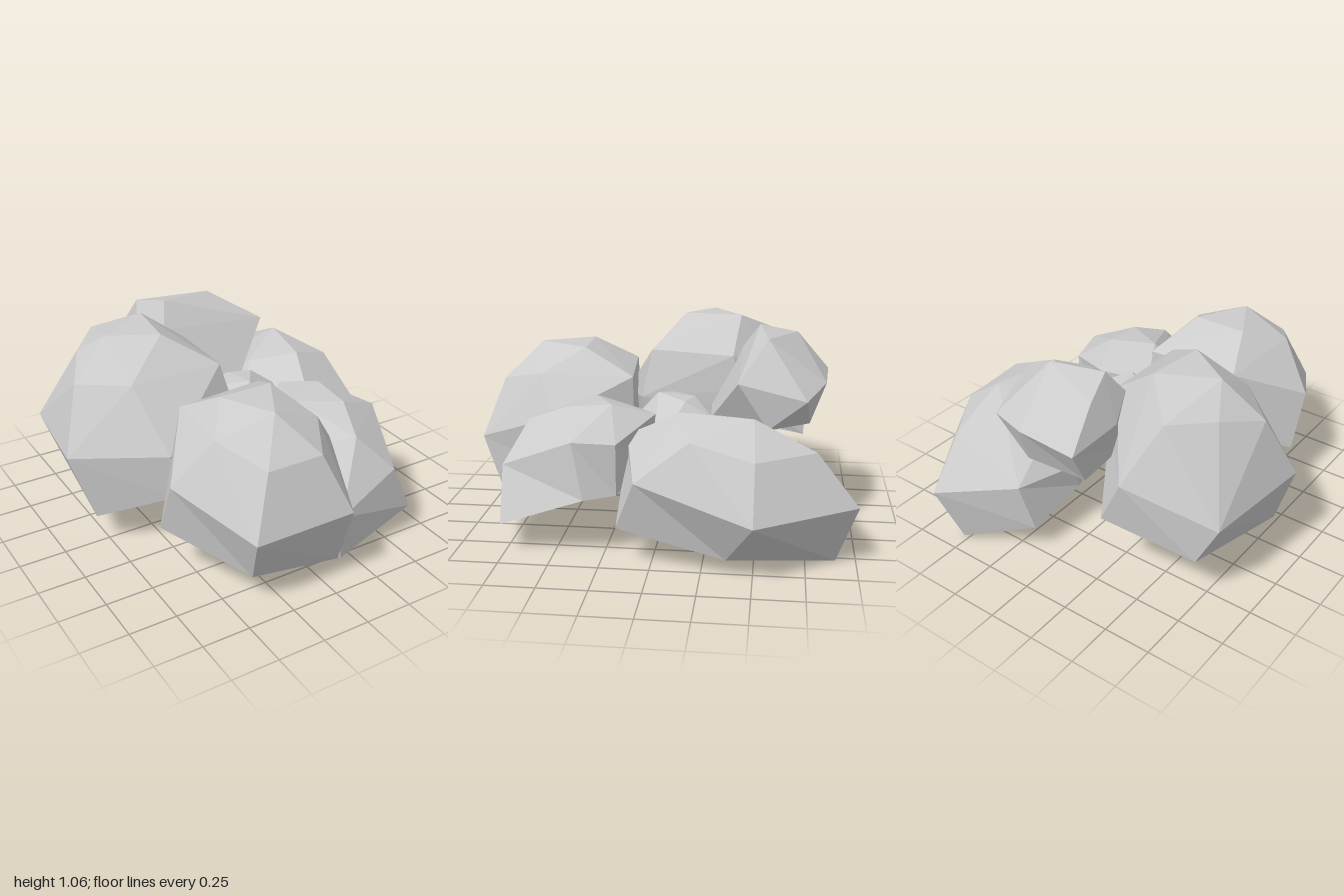
import * as THREE from 'three';
import { ConvexGeometry } from 'three/addons/geometries/ConvexGeometry.js';

const material = new THREE.MeshStandardMaterial({ color: 0xcccccc, flatShading: true, side: THREE.DoubleSide });

// Faceted dome over an equator ring, with a skirt down to a rim; the underside is open
function shell(name, crown, equator, rim) {
  const toPoints = (list) => list.map((p) => new THREE.Vector3(...p));
  const ring = toPoints(equator);
  const lower = toPoints(rim);
  const vertices = [];
  const addFace = (...corners) => corners.forEach((v) => vertices.push(v.x, v.y, v.z));

  // Dome: convex hull without the faces that close the ring
  const pos = new ConvexGeometry([...toPoints(crown), ...ring]).getAttribute('position');
  const onRing = (v) => ring.some((r) => r.distanceTo(v) < 1e-4);
  const tri = new THREE.Triangle();
  const normal = new THREE.Vector3();
  for (let i = 0; i < pos.count; i += 3) {
    tri.setFromAttributeAndIndices(pos, i, i + 1, i + 2);
    tri.getNormal(normal);
    const corners = [tri.a, tri.b, tri.c];
    if (normal.y < 0 && corners.every(onRing)) continue;
    addFace(...corners);
  }

  // Skirt: one quad per ring side
  ring.forEach((a, i) => {
    const j = (i + 1) % ring.length;
    addFace(a, lower[i], lower[j]);
    addFace(a, lower[j], ring[j]);
  });

  const geometry = new THREE.BufferGeometry();
  geometry.setAttribute('position', new THREE.Float32BufferAttribute(vertices, 3));
  geometry.computeVertexNormals();
  const mesh = new THREE.Mesh(geometry, material);
  mesh.name = name;
  return mesh;
}

export function createModel() {
  const group = new THREE.Group();
  group.name = 'foliage';

  // Rings run counter-clockwise seen from above
  group.add(
    shell('frontRightClump', [
      [-0.33, 0.92, 0.44], [-0.04, 0.92, 0.44], [-0.19, 0.92, 0.71],
      [-0.48, 0.83, 0.66], [0.09, 0.8, 0.66], [-0.34, 0.74, 0.89], [-0.04, 0.74, 0.89],
    ], [
      [-0.67, 0.59, 0.57], [-0.46, 0.44, 0.995], [0.08, 0.44, 0.995],
      [0.24, 0.6, 0.57], [0.07, 0.79, 0.17], [-0.42, 0.79, 0.21],
    ], [
      [-0.67, 0.3, 0.45], [-0.41, 0.18, 0.88], [0.09, 0.1, 0.88],
      [0.22, 0.25, 0.45], [0.05, 0.5, 0.17], [-0.42, 0.45, 0.19],
    ]),

    shell('backRightClump', [
      [-0.61, 1.05, -0.22], [-0.37, 1.06, -0.07], [-0.33, 1.06, -0.38],
      [-0.6, 0.88, 0.05], [-0.82, 0.86, -0.15], [-0.7, 0.93, -0.38], [-0.53, 0.95, -0.58],
      [-0.12, 0.9, 0.09], [-0.09, 0.88, -0.35],
    ], [
      [-0.94, 0.53, -0.02], [-0.52, 0.57, 0.29], [-0.06, 0.65, 0.14],
      [-0.08, 0.7, -0.4], [-0.4, 0.65, -0.75], [-0.86, 0.5, -0.6],
    ], [
      [-0.82, 0.17, 0.02], [-0.5, 0.32, 0.28], [-0.09, 0.45, 0.12],
      [-0.08, 0.55, -0.4], [-0.28, 0.4, -0.74], [-0.75, 0.28, -0.62],
    ]),

    shell('backClump', [
      [-0.13, 1.05, -0.49], [0.17, 1.03, -0.54], [-0.2, 1.0, -0.69],
    ], [
      [-0.26, 0.85, -0.58], [-0.18, 0.92, -0.4], [0.44, 0.86, -0.4],
      [0.37, 0.76, -0.74], [0.12, 0.8, -0.84], [-0.22, 0.8, -0.86],
    ], [
      [-0.22, 0.65, -0.5], [-0.03, 0.6, -0.23], [0.2, 0.6, -0.24],
      [0.4, 0.62, -0.55], [0.15, 0.59, -0.76], [-0.2, 0.6, -0.75],
    ]),

    shell('backLeftClump', [
      [0.59, 0.73, -0.49], [0.51, 0.73, -0.13], [0.61, 0.58, -0.79],
      [0.8, 0.58, -0.5], [0.745, 0.65, -0.19], [0.41, 0.58, 0.15], [0.3, 0.66, -0.3],
    ], [
      [0.61, 0.31, -1.0], [0.18, 0.42, -0.82], [0.1, 0.4, -0.5], [0.13, 0.45, -0.05],
      [0.42, 0.5, 0.15], [0.78, 0.45, 0.07], [0.94, 0.31, -0.5],
    ], [
      [0.53, 0.0, -0.9], [0.13, 0.16, -0.77], [0.1, 0.25, -0.45], [0.15, 0.3, -0.05],
      [0.41, 0.33, 0.14], [0.7, 0.19, 0.17], [0.77, 0.08, -0.37],
    ]),

    shell('frontLeftClump', [
      [0.4, 0.71, 0.46], [0.4, 0.73, 0.23], [0.18, 0.72, 0.35], [0.33, 0.62, 0.67],
    ], [
      [0.13, 0.31, 0.85], [0.51, 0.43, 0.77], [0.65, 0.6, 0.39], [0.6, 0.58, 0.18],
      [0.31, 0.66, 0.02], [0.07, 0.62, 0.13], [-0.04, 0.5, 0.45],
    ], [
      [0.18, 0.01, 0.79], [0.64, 0.16, 0.76], [0.69, 0.32, 0.33], [0.6, 0.32, 0.18],
      [0.3, 0.45, 0.04], [0.08, 0.45, 0.13], [0.0, 0.3, 0.4],
    ]),

    shell('middleClump', [
      [0.0, 0.7, -0.04], [0.1, 0.72, 0.03], [0.2, 0.7, -0.12], [0.08, 0.7, -0.16],
    ], [
      [-0.1, 0.6, -0.12], [-0.07, 0.6, 0.09], [0.1, 0.6, 0.14], [0.3, 0.6, 0.02],
      [0.31, 0.62, -0.07], [0.2, 0.62, -0.26], [-0.03, 0.62, -0.25],
    ], [
      [-0.08, 0.5, -0.12], [-0.06, 0.5, 0.07], [0.1, 0.48, 0.12], [0.28, 0.48, 0.03],
      [0.28, 0.5, -0.07], [0.19, 0.5, -0.23], [-0.02, 0.5, -0.22],
    ]),
  );
  return group;
}
